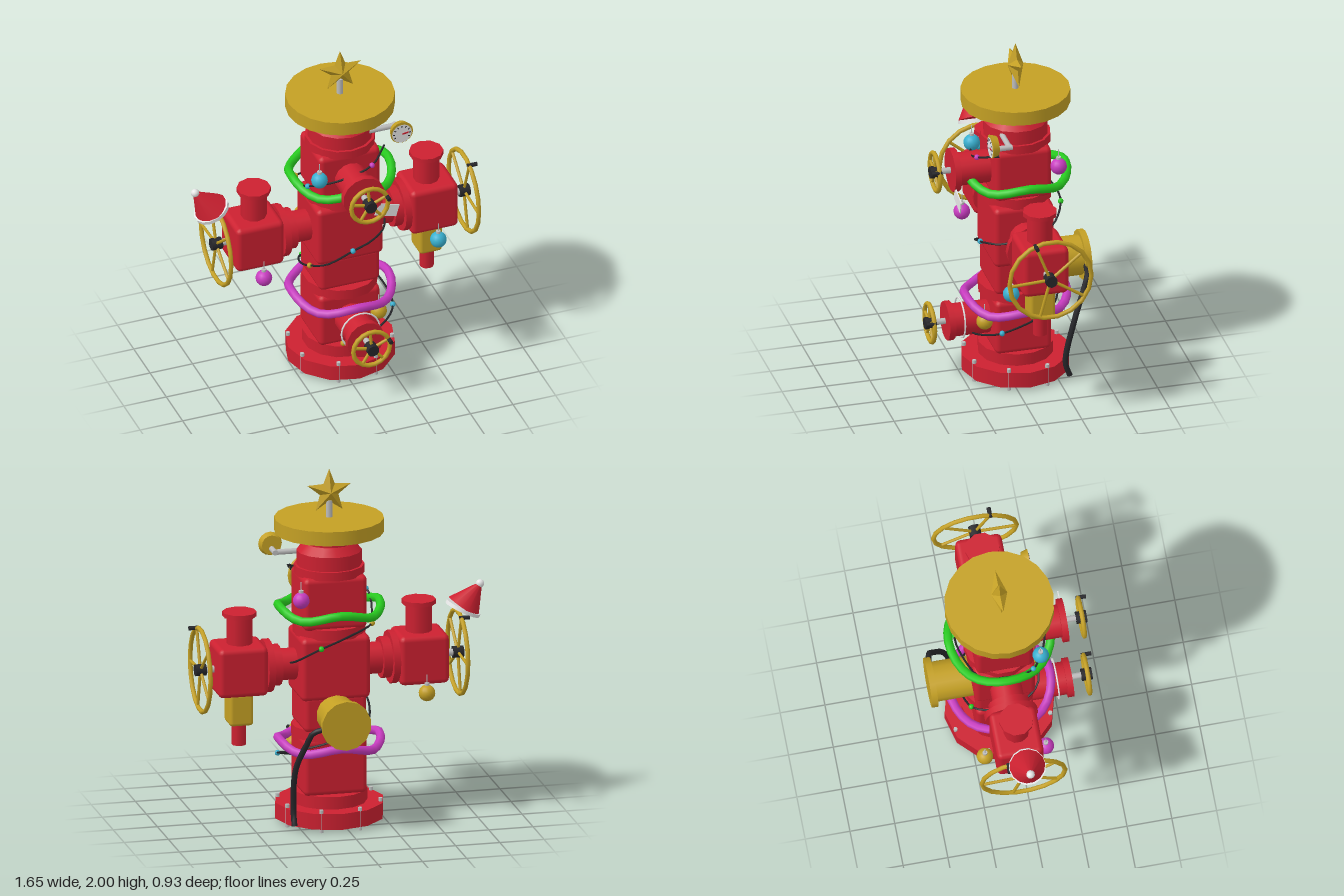
import * as THREE from 'three';
import { RoundedBoxGeometry } from 'three/addons/geometries/RoundedBoxGeometry.js';

const material = (name, color, side = THREE.FrontSide) => {
  const m = new THREE.MeshStandardMaterial({ color, side });
  m.name = name;
  return m;
};

export function createModel() {
  const red = material('red paint', 0xcc2030), gold = material('gold', 0xc4a024);
  const steel = material('steel', 0xbdbdbd), black = material('black rubber', 0x26262a);
  const blue = material('blue', 0x38b0d0), magenta = material('magenta', 0xc83cc0);
  const green = material('green', 0x28cc20), white = material('white', 0xe6e6e6, THREE.DoubleSide);

  const root = new THREE.Group();
  root.name = 'decoratedWellhead';
  const V = (x, y, z) => new THREE.Vector3(x, y, z);
  const group = (name, parent, x = 0, y = 0, z = 0) => {
    const g = new THREE.Group();
    g.name = name;
    g.position.set(x, y, z);
    parent.add(g);
    return g;
  };
  const add = (parent, name, geo, mat, x = 0, y = 0, z = 0) => {
    const m = new THREE.Mesh(geo, mat);
    m.name = name;
    m.position.set(x, y, z);
    parent.add(m);
    return m;
  };
  // cylinder from point a to point b
  const rod = (parent, name, mat, a, b, r, r2 = r, seg = 14) => {
    const d = b.clone().sub(a);
    const m = add(parent, name, new THREE.CylinderGeometry(r2, r, d.length(), seg), mat);
    m.position.copy(a).addScaledVector(d, 0.5);
    m.quaternion.setFromUnitVectors(V(0, 1, 0), d.normalize());
    return m;
  };
  const upright = (p, name, mat, r, y0, y1, r2 = r, seg = 14) => rod(p, name, mat, V(0, y0, 0), V(0, y1, 0), r, r2, seg);
  const block = (p, name, mat, w, y0, y1, d, x = 0, z = 0, r = 0.03) =>
    add(p, name, new RoundedBoxGeometry(w, y1 - y0, d, 2, r), mat, x, (y0 + y1) / 2, z);

  // handwheel facing +z
  const wheel = (parent, name, R, tube, handleAngle, x, y, z) => {
    const g = group(name, parent, x, y, z);
    add(g, 'wheelRim', new THREE.TorusGeometry(R, tube, 8, 18), gold);
    for (let i = 0; i < 5; i++) {
      const a = handleAngle + i * Math.PI * 2 / 5;
      rod(g, 'wheelSpoke', gold, V(0, 0, 0), V(Math.cos(a) * R, Math.sin(a) * R, 0), 0.009, 0.009, 6);
    }
    rod(g, 'wheelHub', black, V(0, 0, -0.03), V(0, 0, 0.03), 0.034, 0.034, 10);
    const hx = Math.cos(handleAngle) * R, hy = Math.sin(handleAngle) * R;
    rod(g, 'wheelHandle', black, V(hx, hy, -0.012), V(hx, hy, 0.045), 0.012, 0.012, 8);
    return g;
  };

  // central stack
  const stack = group('stack', root, 0.045, 0, -0.065);
  upright(stack, 'baseFlange', red, 0.305, 0.02, 0.11, 0.305, 12);
  upright(stack, 'baseCollar', red, 0.21, 0.11, 0.18);
  block(stack, 'lowerBody', red, 0.36, 0.175, 0.5, 0.32);
  upright(stack, 'lowerFlange', red, 0.21, 0.49, 0.55);
  block(stack, 'spacerBody', red, 0.355, 0.54, 0.75, 0.32);
  block(stack, 'crossBody', red, 0.39, 0.72, 1.08, 0.34);
  upright(stack, 'middleFlange', red, 0.2, 1.07, 1.13);
  block(stack, 'upperBody', red, 0.36, 1.12, 1.42, 0.32);
  upright(stack, 'upperFlange', red, 0.195, 1.41, 1.46);
  upright(stack, 'capLower', red, 0.18, 1.46, 1.54);
  upright(stack, 'capTaper', red, 0.18, 1.54, 1.585, 0.14);
  upright(stack, 'capUpper', red, 0.138, 1.585, 1.65);
  upright(stack, 'topDisc', gold, 0.302, 1.645, 1.725, 0.302, 20);
  upright(stack, 'starPost', steel, 0.018, 1.72, 1.82, 0.018, 10);
  for (let i = 0; i < 8; i++) {
    const a = (i + 0.5) * Math.PI / 4, x = Math.cos(a) * 0.286, z = Math.sin(a) * 0.286;
    rod(stack, 'baseBolt', steel, V(x, 0, z), V(x, 0.13, z), 0.012, 0.012, 6);
  }

  // faceted star
  const star = [];
  const corner = i => {
    const a = Math.PI / 2 + i * Math.PI / 5, r = i % 2 ? 0.055 : 0.13;
    return [Math.cos(a) * r, Math.sin(a) * r, 0];
  };
  for (let i = 0; i < 10; i++) {
    star.push(...corner(i), ...corner(i + 1), 0, 0, 0.045);
    star.push(...corner(i + 1), ...corner(i), 0, 0, -0.045);
  }
  const starGeo = new THREE.BufferGeometry();
  starGeo.setAttribute('position', new THREE.Float32BufferAttribute(star, 3));
  starGeo.computeVertexNormals();
  add(stack, 'star', starGeo, gold, 0, 1.87, 0);

  // two side valves, turned half round
  for (const turn of [0, Math.PI]) {
    const arm = group(turn ? 'rightArm' : 'leftArm', stack, 0, 0.9, 0);
    arm.rotation.y = turn;
    const along = (name, mat, r, x0, x1) => rod(arm, name, mat, V(x0, 0, 0), V(x1, 0, 0), r);
    along('armPipe', red, 0.088, 0.15, 0.34);
    along('armCollar', red, 0.115, 0.285, 0.335);
    along('armFlange', red, 0.148, 0.335, 0.372);
    block(arm, 'valveBody', red, 0.28, -0.14, 0.14, 0.26, 0.512);
    const bonnet = group('bonnet', arm, 0.507, 0, 0);
    upright(bonnet, 'bonnetNeck', red, 0.072, 0.13, 0.3, 0.072, 10);
    upright(bonnet, 'bonnetCap', red, 0.095, 0.295, 0.32, 0.095, 10);
    along('armStem', steel, 0.02, 0.64, 0.73);
    wheel(arm, 'armWheel', 0.233, 0.013, 1.94, 0.728, 0, 0).rotation.y = Math.PI / 2;
  }
  block(stack, 'drainNut', gold, 0.135, 0.58, 0.765, 0.145, 0.51, 0, 0.02);
  rod(stack, 'drainStub', red, V(0.51, 0.46, 0), V(0.51, 0.59, 0), 0.04, 0.04, 10);

  // front ports with small wheels
  for (const [name, y, face, R] of [['lowerPort', 0.335, 0.4, 0.11], ['upperPort', 1.265, 0.37, 0.122]]) {
    const p = group(name, stack, 0, y, 0);
    rod(p, 'portPipe', red, V(0, 0, 0.1), V(0, 0, face - 0.02), 0.092);
    rod(p, 'portFlange', red, V(0, 0, face - 0.035), V(0, 0, face), R);
    rod(p, 'portStem', steel, V(0, 0, face), V(0, 0, face + 0.09), 0.018, 0.018, 8);
    wheel(p, 'portWheel', 0.108, 0.013, 0.4, 0, 0, face + 0.087);
  }
  add(stack, 'hangingLoop', new THREE.TorusGeometry(0.112, 0.005, 6, 20), white, 0, 0.345, 0.315);

  // rear outlet and hose
  rod(stack, 'rearPipe', gold, V(0, 0.64, -0.1), V(0, 0.64, -0.38), 0.112);
  rod(stack, 'rearFlange', gold, V(0, 0.64, -0.365), V(0, 0.64, -0.4), 0.14);
  const hose = [V(0.14, 0.63, -0.44), V(0.225, 0.6, -0.425), V(0.25, 0.54, -0.4), V(0.3, 0.37, -0.33), V(0.3, 0.12, -0.28), V(0.3, 0.04, -0.305)];
  add(root, 'hose', new THREE.TubeGeometry(new THREE.CatmullRomCurve3(hose), 20, 0.016, 8), black);

  // wavy garlands
  for (const [name, mat, y] of [['greenGarland', green, 1.215], ['magentaGarland', magenta, 0.455]]) {
    const pts = [];
    for (let i = 0; i < 24; i++) {
      const a = i * Math.PI / 12;
      pts.push(V(Math.cos(a) * 0.283, y + 0.02 * Math.cos(4 * a), Math.sin(a) * 0.283));
    }
    add(stack, name, new THREE.TubeGeometry(new THREE.CatmullRomCurve3(pts, true), 32, 0.025, 7, true), mat);
  }

  // baubles with wire hooks
  for (const [mat, x, y, z] of [
    [blue, -0.15, 1.315, 0.13], [magenta, 0.25, 1.315, -0.255], [magenta, -0.465, 0.725, 0.1],
    [blue, 0.56, 0.73, 0.1], [gold, -0.465, 0.73, -0.24], [gold, 0.19, 0.38, 0.15]]) {
    const b = group('bauble', root, x, y, z);
    add(b, 'baubleBall', new THREE.SphereGeometry(0.046, 16, 12), mat);
    upright(b, 'baubleCap', steel, 0.014, 0.042, 0.058, 0.014, 8);
    upright(b, 'baubleHook', steel, 0.003, 0.055, 0.105, 0.003, 5);
  }

  // string of lights spiralling down the stack
  const string = [
    [0.25, 1.42, 0.08], [0.14, 1.375, 0.18, magenta], [-0.05, 1.31, 0.17], [-0.2, 1.255, 0.08, blue],
    [-0.19, 1.17, -0.1], [-0.165, 1.14, -0.2, gold], [0.0, 1.09, -0.28], [0.145, 1.04, -0.295, green],
    [0.27, 0.95, -0.2], [0.26, 0.88, 0.06], [0.16, 0.85, 0.14], [0.045, 0.8, 0.135, blue],
    [-0.1, 0.74, 0.125], [-0.17, 0.69, 0.03, gold], [-0.175, 0.63, -0.1], [-0.11, 0.57, -0.25, green],
    [0.1, 0.5, -0.29], [0.26, 0.44, -0.2], [0.3, 0.35, 0.08, blue], [0.18, 0.3, 0.19], [-0.03, 0.235, 0.18, gold]];
  const wire = new THREE.CatmullRomCurve3(string.map(p => V(p[0], p[1], p[2])));
  add(root, 'lightWire', new THREE.TubeGeometry(wire, 90, 0.006, 5), black);
  for (const [x, y, z, mat] of string) if (mat) add(root, 'lightBulb', new THREE.SphereGeometry(0.016, 8, 6), mat, x, y, z);

  // pressure gauge
  const gauge = group('gauge', root, 0.325, 1.53, 0.115);
  rod(gauge, 'gaugePipe', steel, V(-0.18, -0.02, -0.07), V(0, -0.02, -0.07), 0.016, 0.016, 8);
  rod(gauge, 'gaugeStem', steel, V(0, -0.02, -0.085), V(0, -0.02, 0.01), 0.016, 0.016, 8);
  rod(gauge, 'gaugeCase', gold, V(0, 0, 0), V(0, 0, 0.038), 0.055, 0.067, 16);
  add(gauge, 'gaugeFace', new THREE.CircleGeometry(0.058, 20), white, 0, -0.005, 0.041);
  for (let i = 0; i < 9; i++) {
    const a = -0.5 + i * 0.52;
    const tick = add(gauge, 'gaugeTick', new THREE.BoxGeometry(0.011, 0.005, 0.003), black, Math.cos(a) * 0.046, Math.sin(a) * 0.046 - 0.005, 0.042);
    tick.rotation.z = a;
  }
  add(gauge, 'gaugeNeedle', new THREE.BoxGeometry(0.035, 0.009, 0.003), red, 0.02, -0.005, 0.043).rotation.z = 0.15;

  // festive hat resting on the right wheel
  const hat = group('hat', root, -0.715, 1.14, -0.05);
  hat.rotation.z = 0.45;
  upright(hat, 'hatBand', white, 0.102, -0.008, 0.012, 0.102, 14);
  rod(hat, 'hatCone', red, V(0, 0.01, 0), V(-0.028, 0.16, 0), 0.1, 0.015);
  add(hat, 'hatPompom', new THREE.SphereGeometry(0.024, 10, 8), white, -0.028, 0.165, 0);

  // paper tag hanging from the upper port
  add(root, 'paperTag', new THREE.BoxGeometry(0.13, 0.075, 0.006), white, 0.182, 1.145, 0.3).rotation.z = -0.27;
  return root;
}
